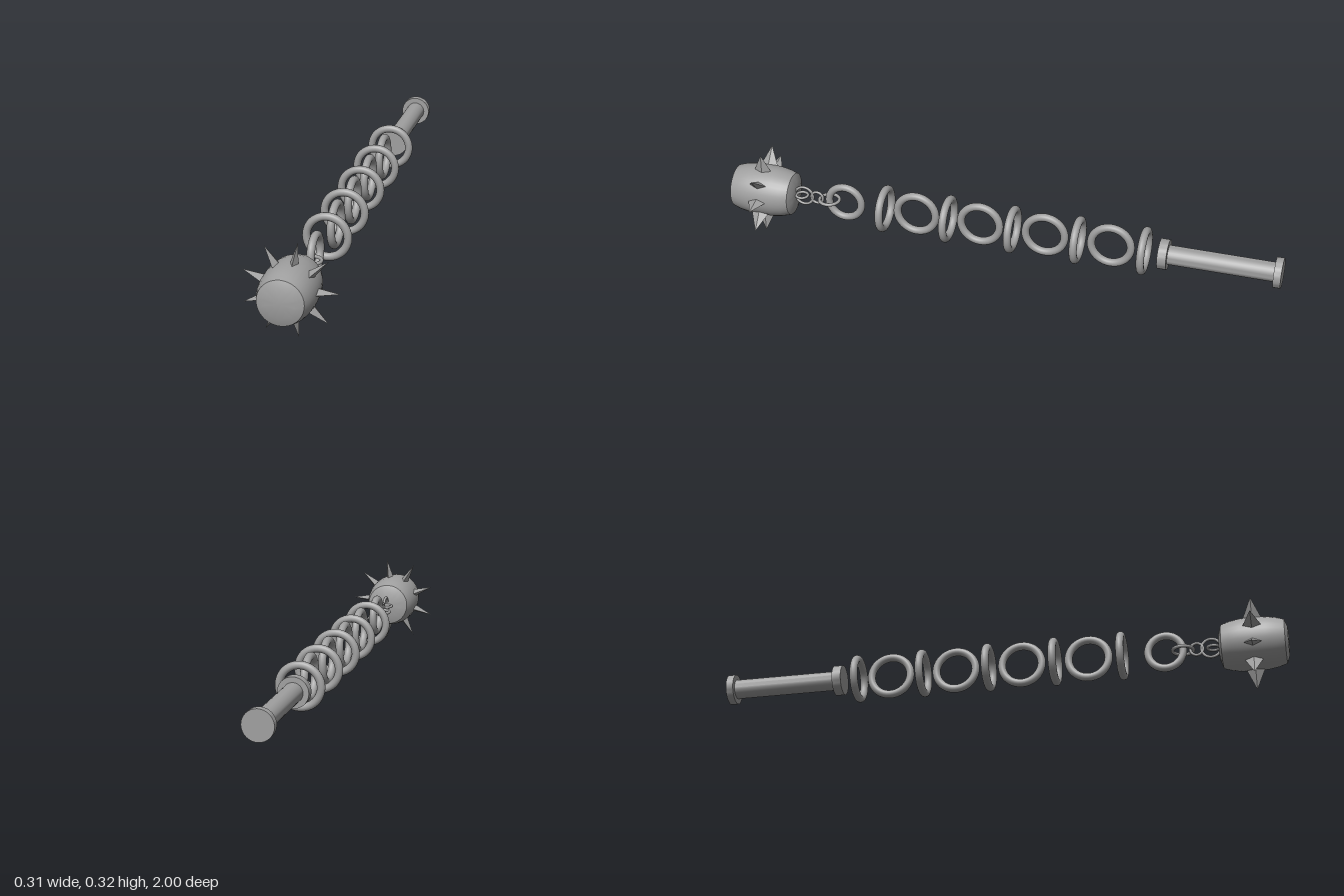
import * as THREE from 'three';
import { toCreasedNormals } from 'three/addons/utils/BufferGeometryUtils.js';

const CX = -0.005, CY = 0.16;

export function createModel() {
  const model = new THREE.Group();
  model.name = 'flail';
  const steel = new THREE.MeshStandardMaterial({ color: 0xa0a0a0 });
  steel.name = 'steel grey';

  const add = (name, geometry, z, parent = model) => {
    const mesh = new THREE.Mesh(geometry, steel);
    mesh.name = name;
    mesh.position.z = z;
    parent.add(mesh);
    return mesh;
  };
  // Solid of revolution about z from [radius, z] points, listed back to front
  const turned = (points, segments) => {
    const lathe = new THREE.LatheGeometry(points.map(([r, z]) => new THREE.Vector2(r, z)), segments);
    return toCreasedNormals(lathe.rotateX(Math.PI / 2), 0.4);
  };

  // Everything hangs on one axis along z
  const axis = new THREE.Group();
  axis.name = 'weapon';
  axis.position.set(CX, CY, 0);
  model.add(axis);

  // Handle with a flange at each end
  add('handle', turned([
    [0, -1], [0.053, -1], [0.053, -0.974], [0.034, -0.974],
    [0.034, -0.606], [0.053, -0.606], [0.053, -0.574], [0, -0.574],
  ], 32), 0, axis);

  // Chain links: 'z' faces along the chain, 'x' stands upright, 'y' lies flat
  const link = (name, z, major, tube, facing) => {
    const mesh = add(name, new THREE.TorusGeometry(major, tube, 14, 40), z, axis);
    if (facing === 'x') mesh.rotation.y = Math.PI / 2;
    if (facing === 'y') mesh.rotation.x = Math.PI / 2;
  };
  for (let i = 0; i < 9; i++) {
    link('chainLink', -0.52 + i * 0.1183, 0.071, 0.014, i % 2 ? 'x' : 'z');
  }
  link('endLink', 0.577, 0.061, 0.0135, 'x');
  link('smallLink', 0.638, 0.036, 0.006, 'y');
  link('tinyLink', 0.685, 0.022, 0.005, 'x');
  link('headLink', 0.735, 0.034, 0.005, 'x');
  link('headStaple', 0.743, 0.021, 0.005, 'y');

  // Barrel-shaped head
  const head = new THREE.Group();
  head.name = 'head';
  head.position.z = 0.882;
  axis.add(head);
  add('headBody', turned([
    [0, -0.118], [0.048, -0.118], [0.076, -0.108], [0.085, -0.08], [0.091, -0.045], [0.093, 0],
    [0.091, 0.045], [0.085, 0.08], [0.076, 0.108], [0.048, 0.118], [0, 0.118],
  ], 36), 0, head);

  // Nine flattened four-sided spikes around the middle
  const spike = new THREE.ConeGeometry(0.036, 0.081, 4);
  spike.scale(0.42, 1, 1);
  const spikeGeometry = toCreasedNormals(spike, 0.1);
  for (let i = 0; i < 9; i++) {
    const a = (i / 9) * Math.PI * 2;
    const mesh = add('spike', spikeGeometry, 0, head);
    mesh.position.set(Math.cos(a) * 0.1205, Math.sin(a) * 0.1205, 0);
    mesh.rotation.z = a - Math.PI / 2;
  }
  return model;
}
